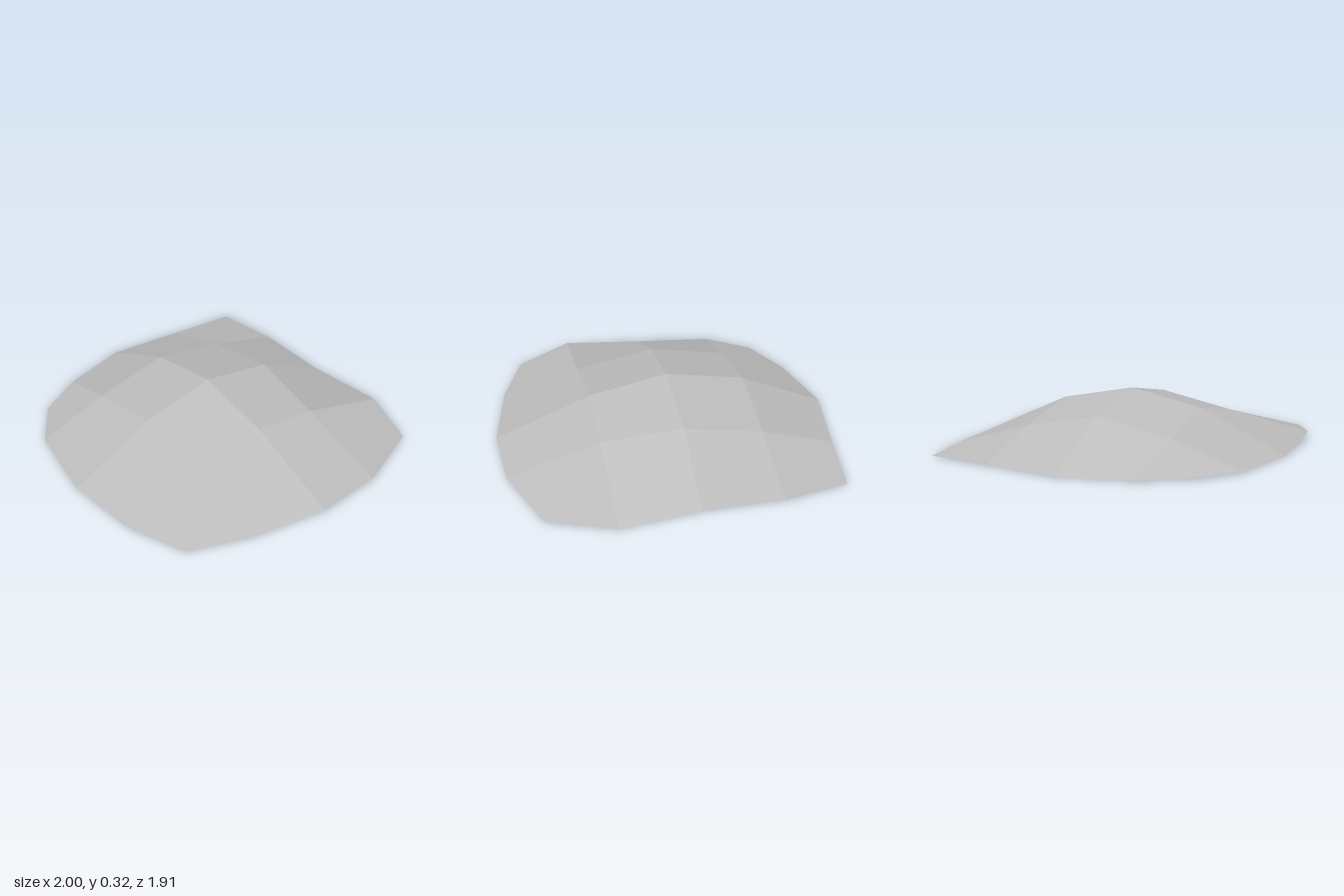
import * as THREE from 'three';

// Rows run from back to front, each point is [x, y, z]
const rows = [
  [[-0.88, 0.005, -0.85], [-0.5, 0.005, -0.91], [-0.03, 0.005, -0.905], [0.44, 0.005, -0.96], [0.82, 0.01, -0.82]],
  [[-0.93, 0.01, -0.45], [-0.5, 0.145, -0.45], [-0.03, 0.235, -0.45], [0.44, 0.175, -0.4], [0.98, 0.015, -0.4]],
  [[-1, 0.005, 0], [-0.5, 0.235, 0], [-0.03, 0.325, 0], [0.44, 0.235, 0], [1, 0.015, 0]],
  [[-0.9, 0.005, 0.41], [-0.5, 0.145, 0.45], [-0.03, 0.235, 0.45], [0.44, 0.145, 0.45], [0.91, 0.015, 0.45]],
  [[-0.75, 0.015, 0.69], [-0.5, 0.01, 0.87], [-0.03, 0, 0.955], [0.44, 0.05, 0.95], [0.77, 0.015, 0.8]],
];

export function createModel() {
  const group = new THREE.Group();
  group.name = 'moundModel';
  const stone = new THREE.MeshStandardMaterial({ color: 0xbcbcbc, side: THREE.DoubleSide });
  stone.name = 'paleGrey';

  // Open faceted shell: each quad is split along the diagonal towards its outer corner
  const points = [];
  for (let r = 0; r < 4; r++) {
    for (let c = 0; c < 4; c++) {
      const a = rows[r][c], b = rows[r + 1][c], d = rows[r + 1][c + 1], e = rows[r][c + 1];
      const quad = (r < 2) === (c < 2) ? [a, b, d, a, d, e] : [a, b, e, b, d, e];
      points.push(...quad.flat());
    }
  }
  const geometry = new THREE.BufferGeometry();
  geometry.setAttribute('position', new THREE.Float32BufferAttribute(points, 3));
  geometry.computeVertexNormals();

  // One shared normal per quad keeps each facet a single shade
  const n = geometry.attributes.normal;
  const v = new THREE.Vector3(), sum = new THREE.Vector3();
  for (let q = 0; q < n.count; q += 6) {
    sum.set(0, 0, 0);
    for (let i = 0; i < 6; i++) sum.add(v.fromBufferAttribute(n, q + i));
    sum.normalize();
    for (let i = 0; i < 6; i++) n.setXYZ(q + i, sum.x, sum.y, sum.z);
  }

  const mound = new THREE.Mesh(geometry, stone);
  mound.name = 'moundShell';
  group.add(mound);
  return group;
}
